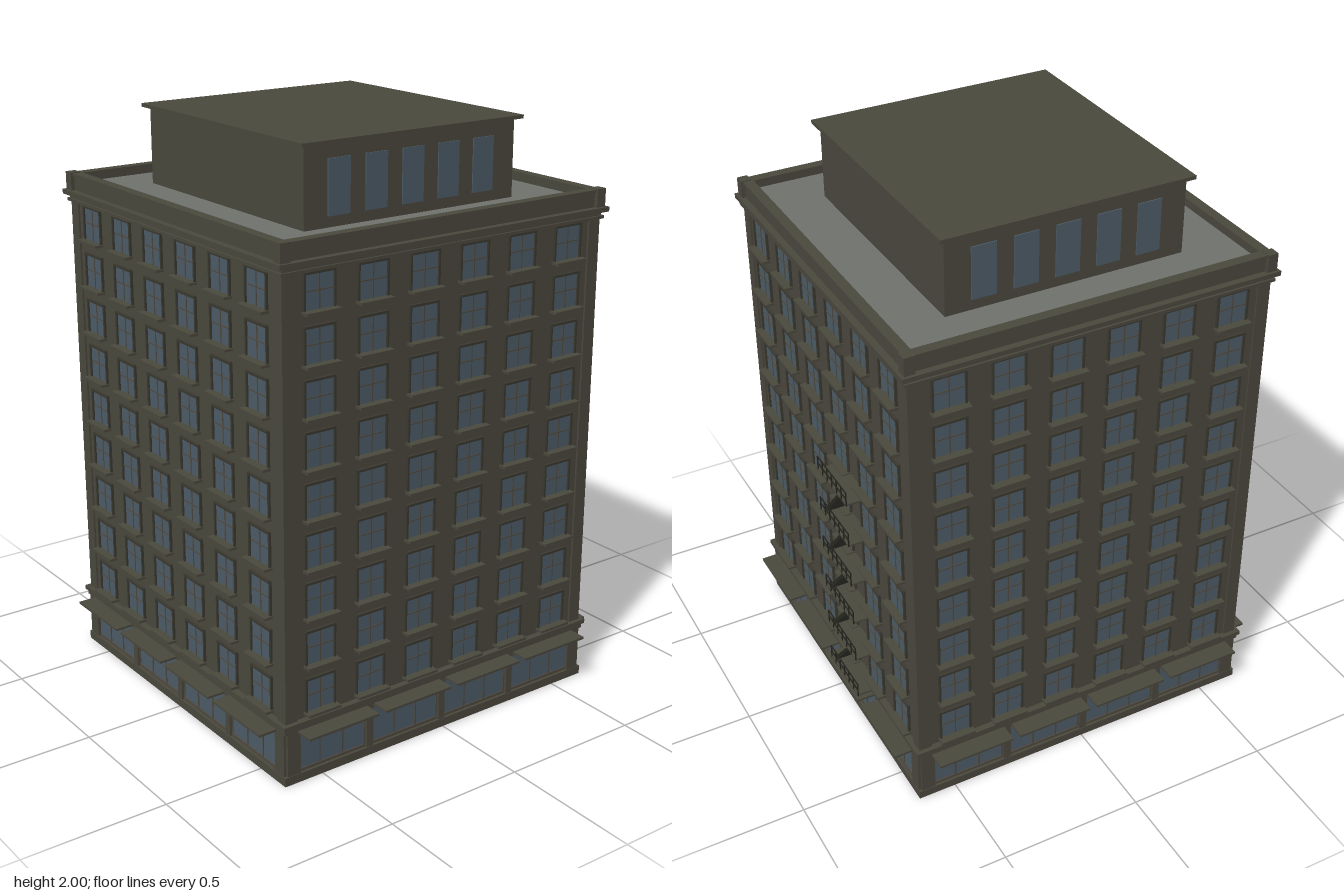
import * as THREE from 'three';
import { mergeGeometries } from 'three/addons/utils/BufferGeometryUtils.js';

const mat = (name, color) => {
  const m = new THREE.MeshStandardMaterial({ color });
  m.name = name;
  return m;
};

// box given by its min/max extents
function box(x0, x1, y0, y1, z0, z1) {
  const g = new THREE.BoxGeometry(x1 - x0, y1 - y0, z1 - z0);
  g.translate((x0 + x1) / 2, (y0 + y1) / 2, (z0 + z1) / 2);
  return g;
}

function add(parent, name, geos, material) {
  const m = new THREE.Mesh(mergeGeometries(geos), material);
  m.name = name;
  parent.add(m);
  return m;
}

// square slab centred on the axis
const slab = (h, y0, y1) => box(-h, h, y0, y1, -h, h);

// hollow square ring
function ring(outer, inner, y0, y1) {
  return [
    box(-outer, outer, y0, y1, inner, outer), box(-outer, outer, y0, y1, -outer, -inner),
    box(inner, outer, y0, y1, -inner, inner), box(-outer, -inner, y0, y1, -inner, inner),
  ];
}

const WALL = 0.625, FLOOR = 0.164, SILL = 0.228;

export function createModel() {
  const wall = mat('olive stone', 0x4b493e);
  const frame = mat('dark window frame', 0x3b3930);
  const mullion = mat('brown mullion', 0x514b40);
  const glass = mat('blue grey glass', 0x4e5d68);
  const roofing = mat('grey roofing', 0x70736e);
  const iron = mat('black iron', 0x25251f);

  const model = new THREE.Group();
  model.name = 'apartmentBuilding';
  const building = new THREE.Group();
  building.name = 'building';
  building.position.x = -0.006;
  model.add(building);

  // main block, ground floor bands and cornice
  add(building, 'mainBlock', [slab(WALL, 0, 1.725)], wall);
  add(building, 'plinth', ring(0.64, 0.6, 0, 0.03), wall);
  add(building, 'groundFloorLintel', ring(0.64, 0.6, 0.182, 0.2), wall);
  add(building, 'groundFloorLedge', ring(0.647, 0.6, 0.2, 0.215), wall);
  add(building, 'cornice', [
    ...ring(0.642, 0.6, 1.665, 1.675),
    ...ring(0.635, 0.6, 1.675, 1.688),
    ...ring(0.653, 0.6, 1.688, 1.704),
  ], wall);
  add(building, 'parapet', [
    ...ring(0.63, 0.605, 1.704, 1.752),
    ...ring(0.636, 0.6, 1.752, 1.762),
  ], wall);
  add(building, 'roofDeck', [slab(0.606, 1.724, 1.73)], roofing);

  // corner pilasters and parapet posts
  const corners = [], posts = [];
  for (const sx of [-1, 1]) for (const sz of [-1, 1]) {
    const c = box(-0.023, 0.023, 0.215, 1.665, -0.023, 0.023);
    corners.push(c.translate(sx * 0.609, 0, sz * 0.609));
    const p = box(-0.018, 0.018, 1.704, 1.765, -0.018, 0.018);
    posts.push(p.translate(sx * 0.625, 0, sz * 0.625));
  }
  add(building, 'cornerPilasters', corners, wall);
  add(building, 'parapetPosts', posts, wall);

  // four identical facades
  for (let s = 0; s < 4; s++) {
    const side = new THREE.Group();
    side.name = ['frontFacade', 'leftFacade', 'backFacade', 'rightFacade'][s];
    side.rotation.y = s * Math.PI / 2;
    building.add(side);
    buildFacade(side);
  }

  function buildFacade(side) {
    const panes = [], frames = [], bars = [], sills = [];
    for (let f = 0; f < 9; f++) for (let c = 0; c < 6; c++) {
      const x = (c - 2.5) * 0.198, y = SILL + f * FLOOR;
      const y0 = y + 0.006, y1 = y + 0.122, w = 0.056;
      panes.push(box(x - w, x + w, y0, y1, WALL - 0.005, WALL + 0.002));
      for (const k of [-1, 1]) {
        const e = x + k * (w - 0.001);
        frames.push(box(e - 0.0035, e + 0.0035, y0, y1, WALL, WALL + 0.008));
      }
      frames.push(box(x - w, x + w, y1 - 0.006, y1 + 0.002, WALL, WALL + 0.01));
      bars.push(box(x - 0.002, x + 0.002, y0, y1, WALL, WALL + 0.004));
      bars.push(box(x - w, x + w, y + 0.062, y + 0.066, WALL, WALL + 0.004));
      sills.push(box(x - 0.063, x + 0.063, y - 0.003, y + 0.006, WALL, WALL + 0.031));
    }
    add(side, 'windowPanes', panes, glass);
    add(side, 'windowFrames', frames, frame);
    add(side, 'windowMullions', bars, mullion);
    add(side, 'windowSills', sills, wall);

    // shop fronts with awnings
    const shops = [], shopBars = [], awnings = [], piers = [];
    for (let b = 0; b < 4; b++) {
      const x = (b - 1.5) * 0.302;
      shops.push(box(x - 0.136, x + 0.136, 0.03, 0.182, WALL - 0.005, WALL + 0.002));
      shopBars.push(box(x - 0.136, x + 0.136, 0.164, 0.17, WALL, WALL + 0.006));
      shopBars.push(box(x - 0.136, x + 0.136, 0.03, 0.04, WALL, WALL + 0.006));
      for (const k of [-0.135, -0.045, 0.045, 0.135])
        shopBars.push(box(x + k - 0.0025, x + k + 0.0025, 0.03, 0.182, WALL, WALL + 0.005));
      awnings.push(box(x - 0.137, x + 0.137, 0.177, 0.185, WALL, 0.704));
    }
    for (let p = 0; p < 5; p++) {
      const x = (p - 2) * 0.302, w = p % 4 ? 0.013 : 0.025;
      piers.push(box(x - w, x + w, 0, 0.2, WALL - 0.01, 0.638));
    }
    add(side, 'shopGlass', shops, glass);
    add(side, 'shopMullions', shopBars, mullion);
    add(side, 'awnings', awnings, wall);
    add(side, 'shopPiers', piers, wall);
  }

  // rooftop penthouse with windows front and back
  const house = new THREE.Group();
  house.name = 'penthouse';
  house.position.x = -0.003;
  building.add(house);
  add(house, 'penthouseWalls', [box(-0.416, 0.416, 1.725, 1.99, -0.443, 0.443)], wall);
  add(house, 'penthouseRoof', [box(-0.437, 0.437, 1.988, 2, -0.465, 0.465)], wall);
  const houseWindows = [];
  for (const k of [-1, 1]) for (let i = -2; i <= 2; i++) {
    const g = box(-0.042, 0.042, 1.765, 1.942, -0.003, 0.003);
    houseWindows.push(g.translate(i * 0.143, 0, k * 0.444));
  }
  add(house, 'penthouseWindows', houseWindows, glass);

  // fire escape on the +x side
  const escape = new THREE.Group();
  escape.name = 'fireEscape';
  model.add(escape);
  const platforms = [], rails = [], treads = [];
  const za = -0.308, zb = -0.085, xo = 0.702;
  for (let k = 0; k < 6; k++) {
    const y = SILL + k * FLOOR - 0.004;
    platforms.push(box(0.61, xo, y, y + 0.006, za, zb));
    // outer railing
    for (const h of [0.03, 0.055])
      rails.push(box(xo - 0.003, xo + 0.001, y + h - 0.003, y + h, za, zb));
    for (let i = 0; i <= 6; i++) {
      const z = za + (zb - za) * i / 6;
      rails.push(box(xo - 0.003, xo + 0.001, y, y + 0.055, z - 0.0015, z + 0.0015));
    }
    // stair flight up to the next platform
    if (k < 5) for (let i = 1; i <= 10; i++) {
      const t = i / 10.5, z = -0.1 - 0.14 * t, h = y + FLOOR * t;
      treads.push(box(0.632, 0.694, h, h + 0.005, z - 0.008, z + 0.008));
    }
  }
  add(escape, 'escapePlatforms', platforms, wall);
  add(escape, 'escapeRailings', rails, iron);
  add(escape, 'escapeTreads', treads, iron);

  return model;
}
